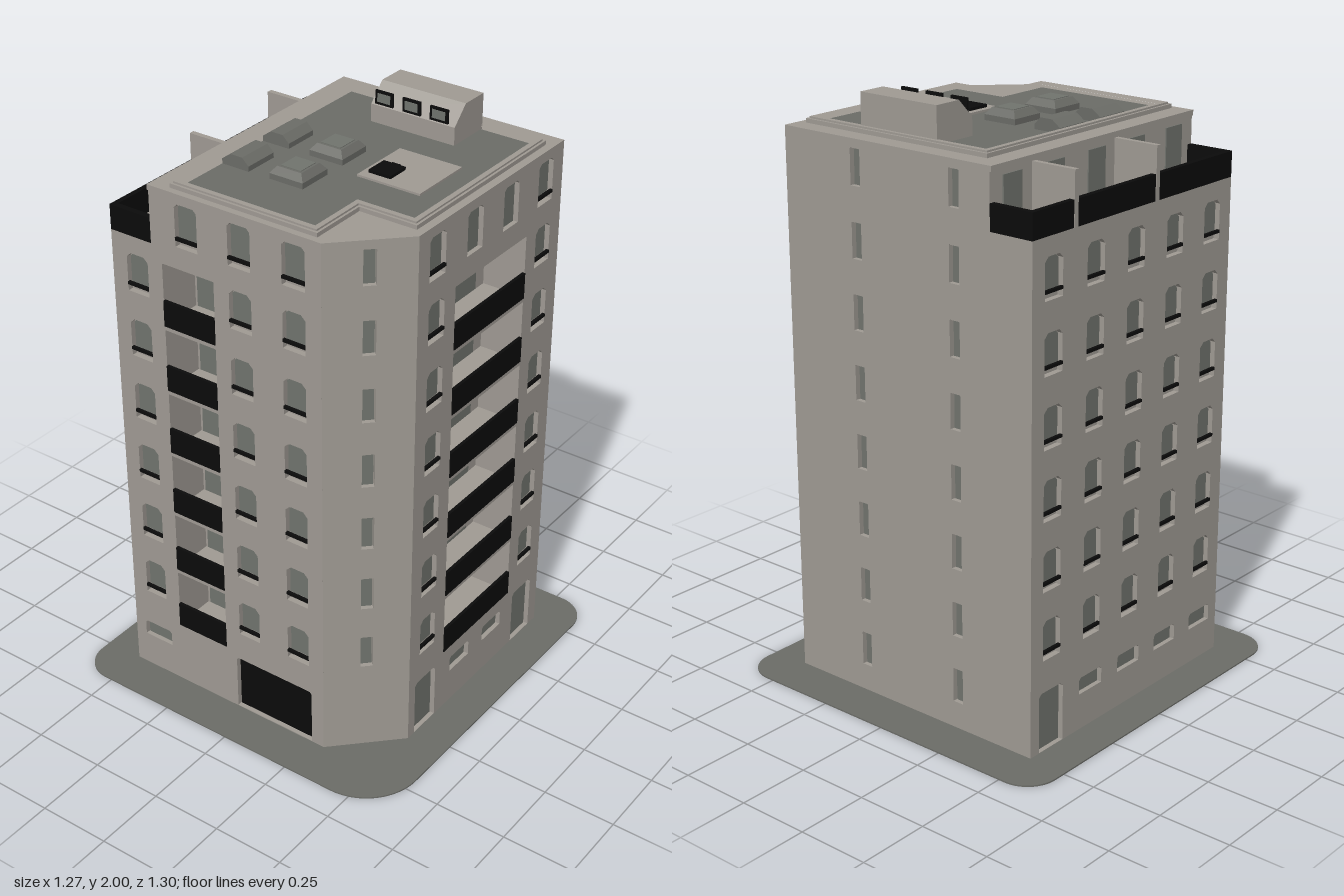
import * as THREE from 'three';

const mat = (name, color, side = THREE.FrontSide) => {
  const m = new THREE.MeshStandardMaterial({ color, side });
  m.name = name;
  return m;
};

export function createModel() {
  const wall = mat('stone wall', 0x9f9a93);
  const glass = mat('grey glass', 0x70736d, THREE.DoubleSide);
  const roofGrey = mat('roof grey', 0x6b6c67);
  const black = mat('black metal', 0x0b0b0b);

  const model = new THREE.Group();
  model.name = 'apartmentBuilding';

  const add = (parent, name, geo, material, x = 0, y = 0, z = 0) => {
    const m = new THREE.Mesh(geo, material);
    m.name = name;
    m.position.set(x, y, z);
    parent.add(m);
    return m;
  };
  // Box given by its limits
  const box = (parent, name, material, x0, x1, y0, y1, z0, z1) =>
    add(parent, name, new THREE.BoxGeometry(x1 - x0, y1 - y0, z1 - z0), material,
      (x0 + x1) / 2, (y0 + y1) / 2, (z0 + z1) / 2);
  const poly = (pts) => pts.map(([x, y]) => new THREE.Vector2(x, y));
  // Floor plan of [x, z] points raised from y0 to y1
  const planPts = (pts) => pts.map(([x, z]) => [x, -z]);
  const rise = (name, material, shape, y0, y1) => {
    const g = new THREE.ExtrudeGeometry(shape, { depth: y1 - y0, bevelEnabled: false });
    return add(model, name, g.rotateX(-Math.PI / 2), material, 0, y0, 0);
  };
  const plan = (name, material, pts, y0, y1, hole) => {
    const s = new THREE.Shape(poly(planPts(pts)));
    if (hole) s.holes.push(new THREE.Path(poly(planPts(hole))));
    return rise(name, material, s, y0, y1);
  };

  // Pavement with rounded corners
  const pave = new THREE.Shape();
  const corner = (x, y, r, a) => pave.absarc(x, y, r, a, a + Math.PI / 2, false);
  corner(0.525, 0.545, 0.11, 0);
  corner(-0.525, 0.545, 0.11, Math.PI / 2);
  corner(-0.525, -0.54, 0.11, Math.PI);
  corner(0.435, -0.45, 0.2, Math.PI * 1.5);
  rise('pavement', roofGrey, pave, 0, 0.005);

  // Inner core, 0.02 behind the facades, notched for the balconies
  const T = 0.02, E = 0.5 - T, C = 0.292, D = 0.35;
  const full = [[-E, -E], [E, -E], [E, C], [C, E], [-E, E]];
  const notched = [[-E, -E], [E, -E], [E, -0.3], [D, -0.3], [D, 0.1], [E, 0.1], [E, C],
    [C, E], [-0.1, E], [-0.1, D], [-0.3, D], [-0.3, E], [-E, E]];
  const floorY = (i) => 0.245 + 0.233 * i;
  const OPEN = 0.213, BALC_TOP = floorY(5) + OPEN, TERR = 1.68, TOP = 1.87;
  plan('groundFloorCore', wall, full, 0.002, floorY(0));
  plan('middleCore', wall, notched, floorY(0), BALC_TOP);
  plan('terraceFloor', wall, full, BALC_TOP, TERR);
  plan('topFloorCore', wall, [[-0.34, -E], [E, -E], [E, C], [C, E], [-0.34, E]], TERR, TOP - 0.01);
  for (let i = 1; i < 6; i++) {
    box(model, 'frontBalconySlab', wall, -0.3, -0.1, floorY(i) - 0.02, floorY(i), D, E);
    box(model, 'sideBalconySlab', wall, D, E, floorY(i) - 0.02, floorY(i), -0.3, 0.1);
  }

  // Rectangle with clipped upper corners
  const opening = (u, y, w, h, c) => poly([[u - w / 2, y], [u + w / 2, y], [u + w / 2, y + h - c],
    [u + w / 2 - c, y + h], [u - w / 2 + c, y + h], [u - w / 2, y + h - c]]);
  const pane = (parent, name, material, u, y, w, h, c, z) =>
    add(parent, name, new THREE.ShapeGeometry(new THREE.Shape(opening(u, y, w, h, c))), material, 0, 0, z);

  // Facade: a pierced panel with panes set behind and rails in front
  const facade = (name, angle, dist, outline, items) => {
    const g = new THREE.Group();
    g.name = name;
    g.rotation.y = angle;
    g.position.set(Math.sin(angle) * dist, 0, Math.cos(angle) * dist);
    const s = new THREE.Shape(poly(outline));
    for (const o of items) {
      const { u, y, w, h, c = 0.002 } = o;
      s.holes.push(new THREE.Path(opening(u, y, w, h, c)));
      if (o.panes) { // balcony
        o.panes.forEach(([a, b]) =>
          pane(g, 'balconyDoor', glass, (a + b) / 2, y + 0.003, b - a, h - 0.008, 0.014, D - 0.5 + 0.003));
        box(g, 'balconyRail', black, u - w / 2, u + w / 2, y - 0.005, y + 0.085, -0.008, 0.003);
      } else {
        const sill = o.bar ? 0.025 : 0;
        pane(g, o.name, o.material || glass, u, y + sill, w - 0.004, h - sill - 0.003, c, -T + 0.004);
        if (o.bar) box(g, 'windowRail', black, u - w / 2, u + w / 2, y + 0.022, y + 0.032, -0.008, 0.002);
      }
    }
    add(g, name + 'Wall', new THREE.ExtrudeGeometry(s, { depth: T, bevelEnabled: false }), wall, 0, 0, -T);
    model.add(g);
  };
  const floors = [0, 1, 2, 3, 4, 5];
  const win = (u, i) => ({ name: 'window', u, y: floorY(i) + 0.075, w: 0.084, h: 0.134, c: 0.016, bar: true });
  const topWin = (u, bar = true) => ({ name: 'topWindow', u, y: 1.698, w: 0.084, h: 0.144, c: 0.012, bar });
  const slit = (u, i) => ({ name: 'slitWindow', u, y: floorY(i) + 0.085, w: 0.04, h: 0.118 });
  const vent = (u) => ({ name: 'groundWindow', u, y: 0.13, w: 0.115, h: 0.057, c: 0.008 });
  const door = (u) => ({ name: 'entranceDoor', u, y: 0.006, w: 0.118, h: 0.204, c: 0.012 });
  const balcony = (u, w, i, panes) => ({ u, y: floorY(i), w, h: OPEN, panes });

  facade('front', 0, 0.5,
    [[-0.5, 0], [0.3, 0], [0.3, TOP], [-0.34, TOP], [-0.34, TERR], [-0.5, TERR]],
    [...floors.flatMap((i) => [...[-0.4, 0, 0.2].map((u) => win(u, i)),
      balcony(-0.2, 0.2, i, [[-0.29, -0.205], [-0.185, -0.105]])]),
    ...[-0.2, 0, 0.2].map((u) => topWin(u)), vent(-0.4),
    { name: 'garageDoor', u: 0.097, y: 0.008, w: 0.31, h: 0.205, c: 0.008, material: black }]);

  facade('rightSide', Math.PI / 2, 0.5, [[-0.3, 0], [0.5, 0], [0.5, TOP], [-0.3, TOP]],
    [...floors.flatMap((i) => [win(-0.2, i), win(0.4, i),
      balcony(0.1, 0.4, i, [[-0.065, 0.07], [0.095, 0.25]])]),
    topWin(-0.2), topWin(0, false), topWin(0.2, false), topWin(0.4),
    door(-0.205), vent(0), vent(0.2), door(0.395)]);

  facade('cutCorner', Math.PI / 4, 0.8 / Math.SQRT2,
    [[-0.1414, 0], [0.1414, 0], [0.1414, TOP], [-0.1414, TOP]],
    [...floors, 6].map((i) => slit(0, i)));

  facade('back', Math.PI, 0.5,
    [[-0.5, 0], [0.5, 0], [0.5, TERR], [0.34, TERR], [0.34, TOP], [-0.5, TOP]],
    [-1, ...floors, 6].flatMap((i) => [slit(-0.2, i), slit(0.2, i)]));

  const cols = [-0.4, -0.2, 0, 0.2, 0.4];
  facade('leftSide', -Math.PI / 2, 0.5, [[-0.5, 0], [0.5, 0], [0.5, TERR], [-0.5, TERR]],
    [...floors.flatMap((i) => cols.map((u) => win(u, i))), door(-0.4), ...cols.slice(1).map(vent)]);

  // Terrace rails, dividers and doors
  box(model, 'terraceRail', black, -0.5, -0.482, TERR, 1.765, -0.5, 0.5);
  for (const s of [-1, 1])
    box(model, 'terraceEndRail', black, -0.5, -0.34, TERR, 1.765, s * 0.49 - 0.01, s * 0.49 + 0.01);
  for (const z of [-0.3, 0.1])
    box(model, 'terraceDivider', wall, -0.502, -0.34, TERR, 1.855, z - 0.009, z + 0.009);
  for (const z of cols)
    box(model, 'terraceDoor', glass, -0.344, -0.338, TERR, 1.84, z - 0.042, z + 0.042);

  // Cornice, parapet and roof
  plan('cornice', wall, [[-0.345, -0.5], [0.5, -0.5], [0.5, 0.3], [0.3, 0.5], [-0.345, 0.5]], 1.858, 1.876);
  const ring = (a) => [[-0.275 + a, -0.435 + a], [0.472 - a, -0.435 + a], [0.472 - a, 0.272 - a],
    [0.27 - a, 0.272 - a], [0.27 - a, 0.477 - a], [-0.275 + a, 0.477 - a]];
  plan('parapet', wall, ring(0), 1.876, 1.89, ring(0.03));
  plan('parapetCoping', wall, ring(0.008), 1.89, 1.896, ring(0.026));
  plan('roofDeck', roofGrey, ring(0.028), 1.874, 1.88);

  // Stair house with a sloped back and three windows
  const house = new THREE.Shape(poly([[0.255, 1.878], [0.255, 2], [0.355, 2], [0.415, 1.94], [0.415, 1.878]]));
  const houseGeo = new THREE.ExtrudeGeometry(house, { depth: 0.313, bevelEnabled: false });
  add(model, 'stairHouse', houseGeo.rotateY(Math.PI / 2), wall, -0.061, 0, 0);
  model.children.at(-1).geometry.translate(0, 0, 0).rotateY(Math.PI).translate(0.313, 0, 0);
  model.children.at(-1).geometry.scale(1, 1, 1);
  const hb = new THREE.Box3().setFromObject(model.children.at(-1));
  model.children.at(-1).position.z -= hb.min.z + 0.415;
  for (const x of [-0.008, 0.095, 0.197]) {
    box(model, 'stairWindowFrame', black, x - 0.033, x + 0.033, 1.948, 1.994, -0.256, -0.248);
    box(model, 'stairWindowPane', glass, x - 0.024, x + 0.024, 1.957, 1.986, -0.25, -0.246);
  }

  // Skylights: tapered curbs, and half ones against the parapet
  for (const z of [0, 0.2]) {
    const curb = new THREE.CylinderGeometry(0.045 * Math.SQRT2, 0.062 * Math.SQRT2, 0.022, 4, 1).toNonIndexed();
    curb.rotateY(Math.PI / 4).computeVertexNormals();
    box(model, 'skylightBase', roofGrey, -0.067, 0.057, 1.878, 1.899, z - 0.062, z + 0.062);
    add(model, 'skylightCurb', curb, roofGrey, -0.005, 1.91, z);
    box(model, 'skylightPane', glass, -0.042, 0.032, 1.918, 1.923, z - 0.037, z + 0.037);
    const wedge = new THREE.ExtrudeGeometry(new THREE.Shape(poly([[-0.247, 1.878], [-0.146, 1.878],
      [-0.146, 1.897], [-0.17, 1.92], [-0.215, 1.92], [-0.247, 1.897]])), { depth: 0.124, bevelEnabled: false });
    add(model, 'sideSkylight', wedge, roofGrey, 0, 0, z - 0.062);
  }

  // Service pad with a vent
  box(model, 'servicePad', wall, 0.135, 0.362, 1.878, 1.887, -0.131, 0.095);
  box(model, 'roofVent', black, 0.156, 0.236, 1.886, 1.897, -0.015, 0.065);
  box(model, 'roofVentPipe', black, 0.18, 0.212, 1.886, 1.893, -0.026, -0.014);

  return model;
}
